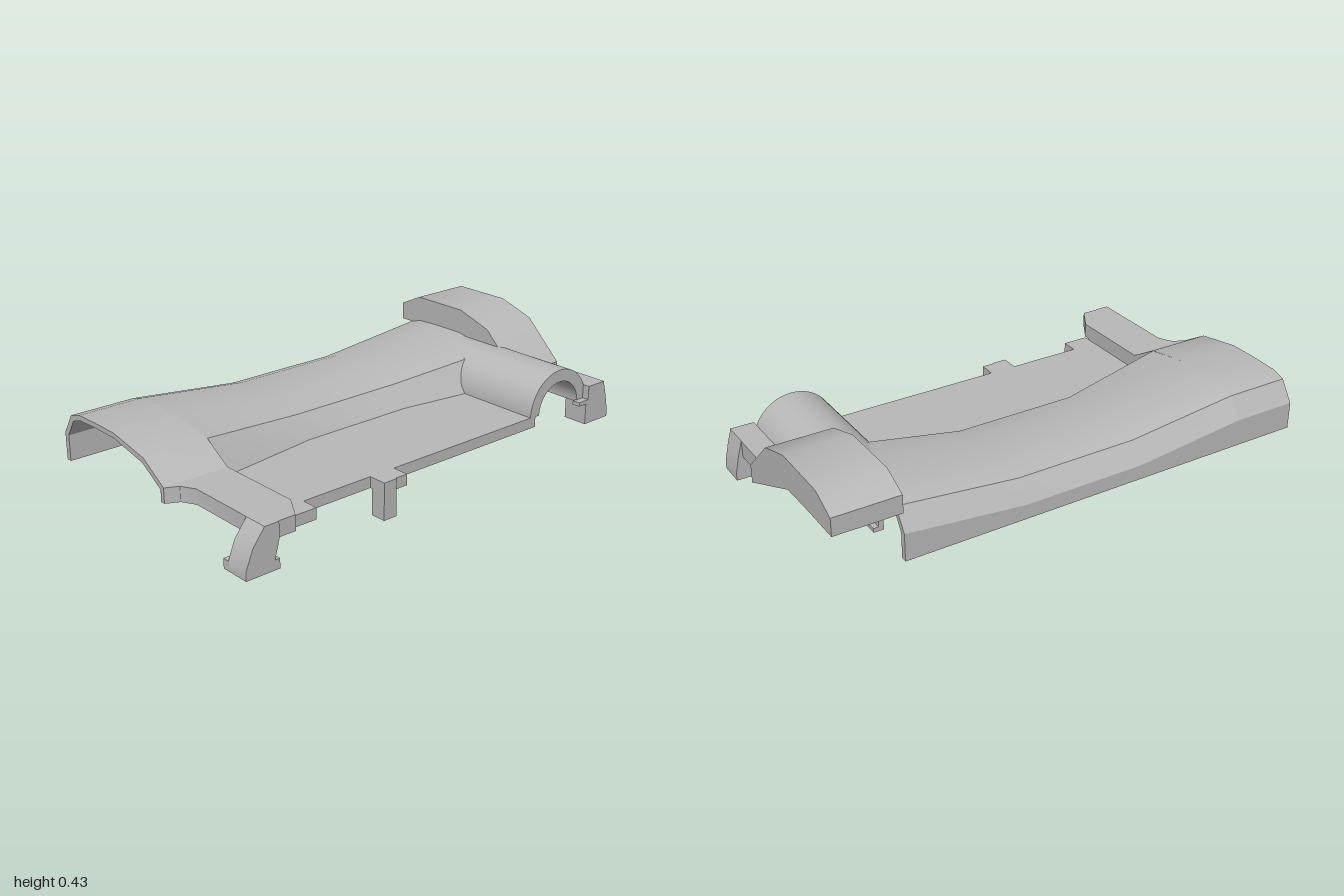
import * as THREE from 'three';
import { toCreasedNormals } from 'three/addons/utils/BufferGeometryUtils.js';

export function createModel() {
  const root = new THREE.Group();
  const grey = new THREE.MeshStandardMaterial({ color: 0xb8b8b8, side: THREE.DoubleSide });
  grey.name = 'light grey plastic';

  const add = (name, geo) => {
    const mesh = new THREE.Mesh(toCreasedNormals(geo, 0.5), grey);
    mesh.name = name;
    root.add(mesh);
    return mesh;
  };
  const extrude = (shape, depth) => new THREE.ExtrudeGeometry(shape, { depth, bevelEnabled: false, curveSegments: 20 });
  const poly = pts => new THREE.Shape(pts.map(p => new THREE.Vector2(...p)));
  // Outline in (z, y), swept from x0 to x1
  const alongX = (name, pts, x0, x1) =>
    add(name, extrude(poly(pts), x1 - x0).rotateY(-Math.PI / 2).translate(x1, 0, 0));
  // Outline in (x, z), swept from y0 to y1
  const alongY = (name, pts, y0, y1) =>
    add(name, extrude(poly(pts), y1 - y0).rotateX(Math.PI / 2).translate(0, y1, 0));
  // Outline in (x, y), swept from z0 to z1
  const alongZ = (name, pts, z0, z1) =>
    add(name, extrude(poly(pts), z1 - z0).translate(0, 0, z0));
  const box = (name, x0, x1, y0, y1, z0, z1) =>
    add(name, new THREE.BoxGeometry(x1 - x0, y1 - y0, z1 - z0)
      .translate((x0 + x1) / 2, (y0 + y1) / 2, (z0 + z1) / 2));

  // Thin shell lofted between stations, each { x, outer, inner } in (z, y)
  function loft(name, stations) {
    const pos = [];
    const quad = (a, b, c, d) => pos.push(...a, ...b, ...c, ...a, ...c, ...d);
    const rings = stations.map(s =>
      [...s.outer, ...[...s.inner].reverse()].map(([z, y]) => [s.x, y, z]));
    const n = rings[0].length;
    for (let i = 0; i < rings.length - 1; i++) {
      for (let j = 0; j < n; j++) {
        const k = (j + 1) % n;
        quad(rings[i][j], rings[i][k], rings[i + 1][k], rings[i + 1][j]);
      }
    }
    const first = rings[0], last = rings[rings.length - 1];
    for (let j = 0; j < n / 2 - 1; j++) {
      quad(first[j], first[n - 1 - j], first[n - 2 - j], first[j + 1]);
      quad(last[j], last[j + 1], last[n - 2 - j], last[n - 1 - j]);
    }
    const geo = new THREE.BufferGeometry();
    geo.setAttribute('position', new THREE.Float32BufferAttribute(pos, 3));
    geo.computeVertexNormals();
    add(name, geo);
  }

  // Rear lip and crown shared by both shell pieces, h is the crown height
  const crown = h => ({
    outer: [[-0.565, 0.105], [-0.565, h - 0.105], [-0.51, h - 0.022], [-0.45, h - 0.004], [-0.34, h], [-0.21, h]],
    inner: [[-0.541, 0.105], [-0.541, h - 0.112], [-0.497, h - 0.042], [-0.445, h - 0.024], [-0.34, h - 0.02], [-0.213, h - 0.02]],
  });

  // Waisted main shell with its steep front wall
  loft('mainShell', [[-0.73, 0.322, -0.02], [-0.26, 0.27, -0.09], [0.24, 0.27, -0.09], [0.735, 0.322, -0.02]]
    .map(([x, h, z]) => {
      const c = crown(h);
      return {
        x,
        outer: [...c.outer, [z, h - 0.035], [z + 0.07, 0.148]],
        inner: [...c.inner, [z - 0.012, h - 0.053], [z + 0.045, 0.148]],
      };
    }));

  // Left end of the shell, sloping down to the arm
  loft('leftShellEnd', [-1, -0.73].map(x => {
    const c = crown(0.322);
    return {
      x,
      outer: [...c.outer, [-0.02, 0.288], [0.1, 0.215]],
      inner: [...c.inner, [-0.027, 0.267], [0.1, 0.19]],
    };
  }));
  alongX('leftCheek', [[-0.02, 0.288], [0.1, 0.215], [0.44, 0.215], [0.44, 0.105], [0.05, 0.105], [0.05, 0.15]], -0.75, -0.73);

  // Left arm and hooked clip
  alongY('leftArm', [[-1, 0.08], [-1, 0.1], [-0.95, 0.125], [-0.92, 0.18], [-0.92, 0.56],
    [-0.79, 0.56], [-0.73, 0.46], [-0.73, 0.08]], 0.155, 0.215);
  alongZ('leftClip', [[-0.92, 0.215], [-0.97, 0.15], [-1, 0.075], [-1, 0.042], [-0.86, 0.042],
    [-0.86, 0.08], [-0.88, 0.08], [-0.86, 0.155], [-0.86, 0.215]], 0.465, 0.563);
  box('leftClipFoot', -1, -0.94, 0.042, 0.08, 0.44, 0.47);

  // Flat deck, its ribs underneath, front tabs and peg
  box('deck', -0.73, 0.575, 0.122, 0.15, -0.07, 0.39);
  box('deckFrontRib', -0.73, 0.575, 0.105, 0.15, 0.37, 0.39);
  box('deckLeftRib', -0.73, -0.69, 0.105, 0.15, -0.1, 0.39);
  box('deckBackRib', -0.73, 0.77, 0.105, 0.15, -0.1, -0.06);
  box('deckTab', -0.73, -0.62, 0.105, 0.15, 0.385, 0.46);
  box('deckTab', -0.31, -0.195, 0.105, 0.15, 0.385, 0.46);
  box('peg', -0.31, -0.25, 0, 0.15, 0.4, 0.465);

  // Half-round tunnel, open at the front
  const arch = new THREE.Shape();
  arch.moveTo(0.88, 0.148);
  arch.absarc(0.713, 0.148, 0.167, 0, Math.PI, false);
  arch.lineTo(0.597, 0.148);
  arch.absarc(0.713, 0.148, 0.116, Math.PI, 0, true);
  arch.closePath();
  add('tunnel', extrude(arch, 0.56).translate(0, 0, -0.17));

  // Raised right fender with the inner wall and rail below it
  alongX('rightFender', [[0.13, 0.14], [0.13, 0.215], [-0.04, 0.375], [-0.2, 0.425], [-0.46, 0.425],
    [-0.565, 0.375], [-0.565, 0.302], [-0.4, 0.302], [-0.22, 0.297]], 0.735, 1);
  alongX('innerWall', [[0.13, 0.14], [-0.22, 0.3], [-0.4, 0.305], [-0.4, 0.14]], 0.73, 0.75);
  box('rail', 0.73, 0.77, 0.14, 0.157, -0.4, 0.13);

  // Right arm and hooked clip
  box('rightArm', 0.865, 0.962, 0.145, 0.215, 0.08, 0.42);
  box('rightArmBlock', 0.81, 0.962, 0.14, 0.157, 0.385, 0.42);
  alongZ('rightClip', [[0.962, 0.215], [0.98, 0.15], [0.995, 0.08], [0.995, 0.05], [0.855, 0.05],
    [0.855, 0.155], [0.88, 0.155], [0.88, 0.215]], 0.31, 0.418);

  return root;
}
